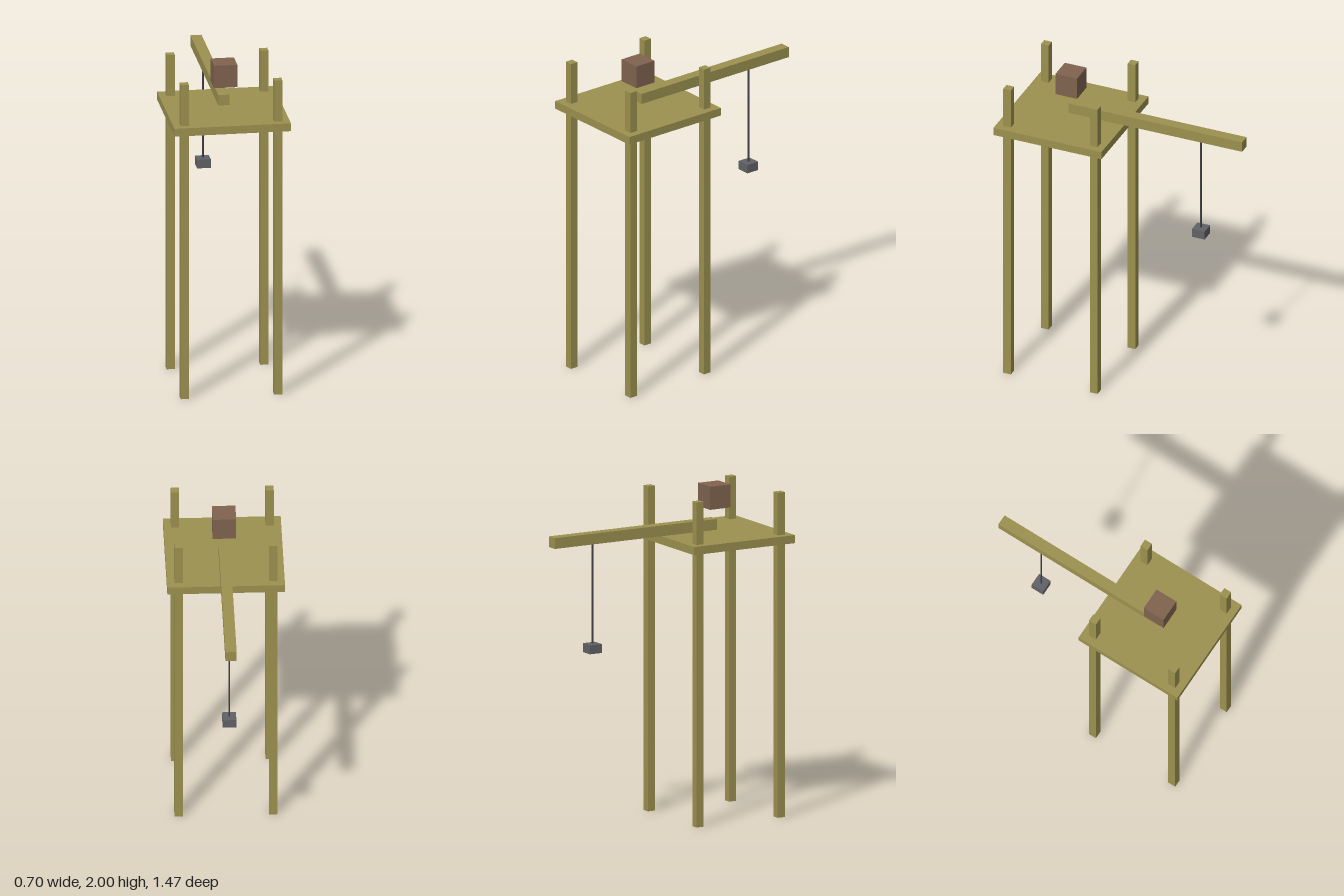
import * as THREE from 'three';

export function createModel() {
  const model = new THREE.Group();
  model.name = 'hoistTower';

  const material = (name, color) => {
    const m = new THREE.MeshStandardMaterial({ color });
    m.name = name;
    return m;
  };
  const wood = material('wood', 0x9c914f);
  const brown = material('brown', 0x80634f);
  const iron = material('iron', 0x616266);
  const cord = material('cord', 0x45424a);

  const addBox = (name, mat, [w, h, d], [x, y, z]) => {
    const mesh = new THREE.Mesh(new THREE.BoxGeometry(w, h, d), mat);
    mesh.name = name;
    mesh.position.set(x, y, z);
    model.add(mesh);
    return mesh;
  };

  const platformZ = 0.387; // centre of the tower
  const hookZ = -0.456; // where the load hangs

  // Four posts rising through the platform
  for (const sx of [-1, 1]) {
    for (const sz of [-1, 1]) {
      const name = (sz > 0 ? 'front' : 'back') + (sx > 0 ? 'Left' : 'Right') + 'Post';
      addBox(name, wood, [0.049, 1.97, 0.049], [sx * 0.281, 0.985, platformZ + sz * 0.281]);
    }
  }

  // Deck, and the beam reaching out over its back edge
  addBox('platform', wood, [0.7, 0.049, 0.7], [0, 1.688, platformZ]);
  addBox('beam', wood, [0.067, 0.065, 1.124], [0, 1.759, -0.175]);

  // Block floating over the inner end of the beam
  addBox('block', brown, [0.14, 0.14, 0.14], [0, 1.93, platformZ]);

  // Rope and hanging weight
  const rope = new THREE.Mesh(new THREE.CylinderGeometry(0.005, 0.005, 0.62, 8), cord);
  rope.name = 'rope';
  rope.position.set(0, 1.42, hookZ);
  model.add(rope);
  addBox('weight', iron, [0.082, 0.054, 0.082], [0, 1.091, hookZ]);

  return model;
}
